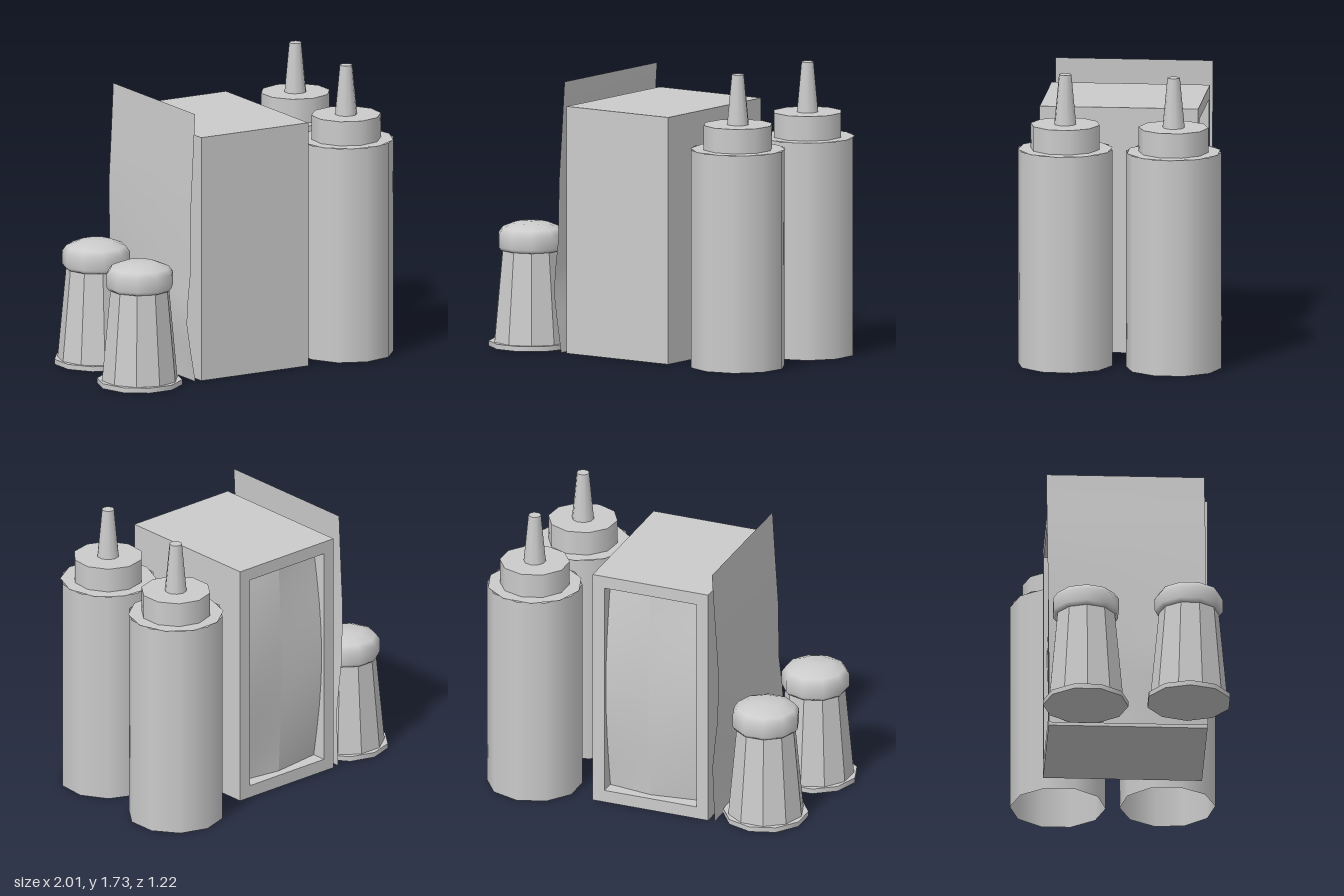
import * as THREE from 'three';

const SIDES = 10;
const grey = new THREE.MeshStandardMaterial({ color: 0xcccccc });
const greyFlat = new THREE.MeshStandardMaterial({ color: 0xcccccc, flatShading: true });
const greyThin = new THREE.MeshStandardMaterial({ color: 0xcccccc, side: THREE.DoubleSide });

function part(parent, name, geometry, material = grey, x = 0, y = 0, z = 0) {
  const mesh = new THREE.Mesh(geometry, material);
  mesh.name = name;
  mesh.position.set(x, y, z);
  parent.add(mesh);
  return mesh;
}

// Ten-sided cylinder or cone standing between two heights
function tube(parent, name, rTop, rBottom, y0, y1, material = grey, open = false) {
  const g = new THREE.CylinderGeometry(rTop, rBottom, y1 - y0, SIDES, 1, open);
  return part(parent, name, g, material, 0, (y0 + y1) / 2, 0);
}

// Surface through rows of equally many [x, y, z] points
function sheet(rows) {
  const n = rows[0].length, index = [];
  for (let i = 0; i < rows.length - 1; i++) {
    for (let j = 0; j < n - 1; j++) {
      const a = i * n + j, b = a + 1, c = a + n, d = c + 1;
      index.push(a, c, b, b, c, d);
    }
  }
  const g = new THREE.BufferGeometry();
  g.setAttribute('position', new THREE.Float32BufferAttribute(rows.flat(2), 3));
  g.setIndex(index);
  g.computeVertexNormals();
  return g;
}

// Squeeze bottle: open-bottomed body, shoulder, cap and nozzle
function squeezeBottle(x, z, turn) {
  const bottle = new THREE.Group();
  bottle.name = 'squeezeBottle';
  tube(bottle, 'bottleBody', 0.28, 0.28, 0, 1.285, greyThin, true);
  const shoulder = new THREE.CircleGeometry(0.28, SIDES);
  shoulder.rotateX(-Math.PI / 2).rotateY(Math.PI / SIDES * 0.5 * 2 + Math.PI / 2);
  part(bottle, 'bottleShoulder', shoulder, greyThin, 0, 1.285, 0);
  tube(bottle, 'bottleCap', 0.205, 0.205, 1.285, 1.43);
  tube(bottle, 'bottleNozzle', 0.037, 0.065, 1.43, 1.725);
  bottle.position.set(x, 0, z);
  bottle.rotation.y = turn;
  return bottle;
}

// Shaker: round foot, faceted tapering body and domed lid
function shaker(x, z, turn) {
  const group = new THREE.Group();
  group.name = 'shaker';
  const half = Math.PI / SIDES;
  tube(group, 'shakerFoot', 0.25, 0.25, 0, 0.03);
  tube(group, 'shakerBody', 0.175, 0.226, 0.03, 0.58, greyFlat).rotation.y = half;
  const profile = [[0, 0.57], [0.185, 0.57], [0.2, 0.59], [0.2, 0.665], [0.175, 0.70], [0.1, 0.73], [0, 0.735]];
  const lid = new THREE.LatheGeometry(profile.map(([r, y]) => new THREE.Vector2(r, y)), SIDES);
  part(group, 'shakerLid', lid).rotation.y = half;
  group.position.set(x, 0, z);
  group.rotation.y = turn;
  return group;
}

// Napkin box with a framed opening in the back and a bowed napkin stack inside
function napkinDispenser() {
  const group = new THREE.Group();
  group.name = 'napkinDispenser';
  const x0 = -0.41, x1 = 0.32, h = 1.46, back = -0.44, front = 0.49, depth = 0.12, rim = 0.075;
  const cx = (x0 + x1) / 2, solid = front - back - depth;
  part(group, 'dispenserBox', new THREE.BoxGeometry(x1 - x0, h, solid), grey, cx, h / 2, front - solid / 2);

  const rect = (path, a, b, c, d) =>
    path.moveTo(a, b).lineTo(c, b).lineTo(c, d).lineTo(a, d).closePath();
  const frame = new THREE.Shape(), hole = new THREE.Path();
  rect(frame, x0, 0, x1, h);
  rect(hole, x0 + rim, rim, x1 - rim, h - rim);
  frame.holes.push(hole);
  part(group, 'dispenserFrame',
    new THREE.ExtrudeGeometry(frame, { depth, bevelEnabled: false }), grey, 0, 0, back);

  // Two halves meeting at a vertical crease, bulging towards the middle height
  const xs = [x0 + rim, cx + 0.02, x1 - rim];
  for (const [name, a] of [['napkinsRight', 0], ['napkinsLeft', 1]]) {
    const rows = [];
    for (let i = 0; i <= 8; i++) {
      const t = i / 8, bow = Math.sin(Math.PI * t);
      const y = rim + t * (h - 2 * rim);
      rows.push([a, a + 1].map(j =>
        [xs[j], y, back + (j === 1 ? 0.05 - 0.025 * bow : 0.09 - 0.07 * bow)]));
    }
    part(group, name, sheet(rows), greyThin);
  }
  return group;
}

// Thin warped menu card leaning beside the dispenser
function menuCard() {
  // height, x at the back edge, x at the front edge
  const bends = [
    [0, -0.45, -0.45], [0.18, -0.442, -0.48], [0.35, -0.437, -0.505], [0.5, -0.452, -0.495],
    [0.67, -0.472, -0.476], [1.0, -0.475, -0.475], [1.3, -0.457, -0.457], [1.6, -0.44, -0.44],
  ];
  const rows = bends.map(([y, xb, xf]) => {
    const lean = 0.02 * (1 - y / 1.6);
    return [0, 0.5, 1].map(t => [xb + (xf - xb) * t, y, -0.455 + lean + 0.925 * t]);
  });
  const card = new THREE.Mesh(sheet(rows), greyThin);
  card.name = 'menuCard';
  return card;
}

export function createModel() {
  const model = new THREE.Group();
  model.name = 'condimentSet';
  model.add(
    napkinDispenser(),
    menuCard(),
    squeezeBottle(0.73, -0.335, 0),
    squeezeBottle(0.69, 0.305, -0.09),
    shaker(-0.69, -0.235, 0),
    shaker(-0.755, 0.365, Math.PI / SIDES),
  );
  return model;
}
